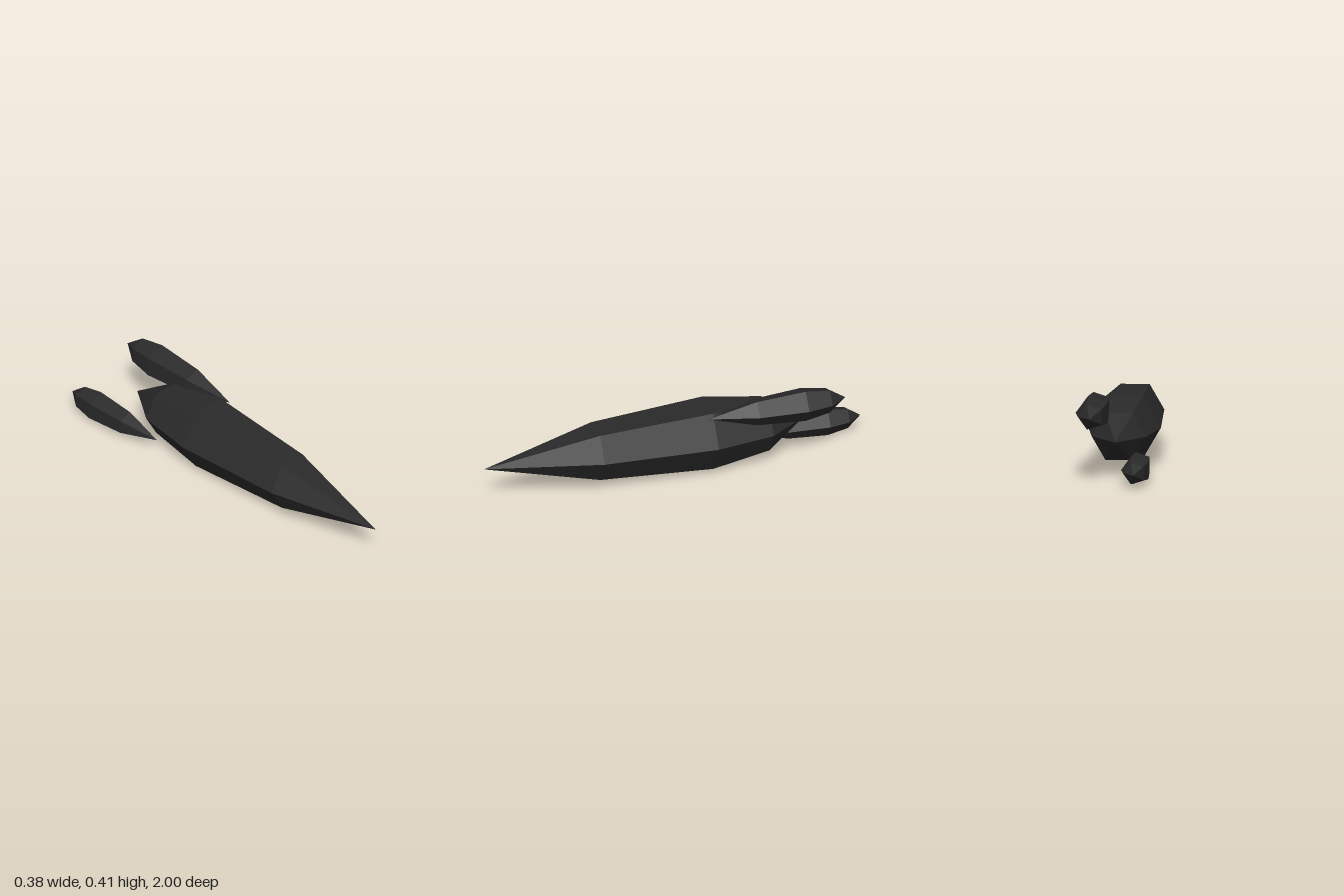
import * as THREE from 'three';

// Shared crystal profile from blunt back tip to long front tip:
// [fraction of length behind the front tip, fraction of full radius]
const PROFILE = [[1, 0], [0.88, 0.75], [0.7, 1], [0.35, 0.8], [0, 0]];

const material = new THREE.MeshStandardMaterial({ color: 0x2a2a2a, flatShading: true });

// Faceted shard along z, with one edge pointing to +x
function crystal(name, sides, radius, x, y, frontZ, backZ) {
  const length = frontZ - backZ;
  const points = PROFILE.map(([t, r]) => new THREE.Vector2(r * radius, -t * length));
  const geometry = new THREE.LatheGeometry(points, sides, Math.PI / 2);
  geometry.rotateX(Math.PI / 2);
  const mesh = new THREE.Mesh(geometry, material);
  mesh.name = name;
  mesh.position.set(x, y, frontZ);
  return mesh;
}

export function createModel() {
  const group = new THREE.Group();
  group.name = 'crystalCluster';
  group.add(
    crystal('mainCrystal', 6, 0.181, -0.01, 0.185, 1, -0.665),
    crystal('upperLeftCrystal', 5, 0.087, 0.103, 0.327, -0.13, -0.845),
    crystal('lowerRightCrystal', 5, 0.075, -0.128, 0.074, -0.41, -1)
  );
  return group;
}
